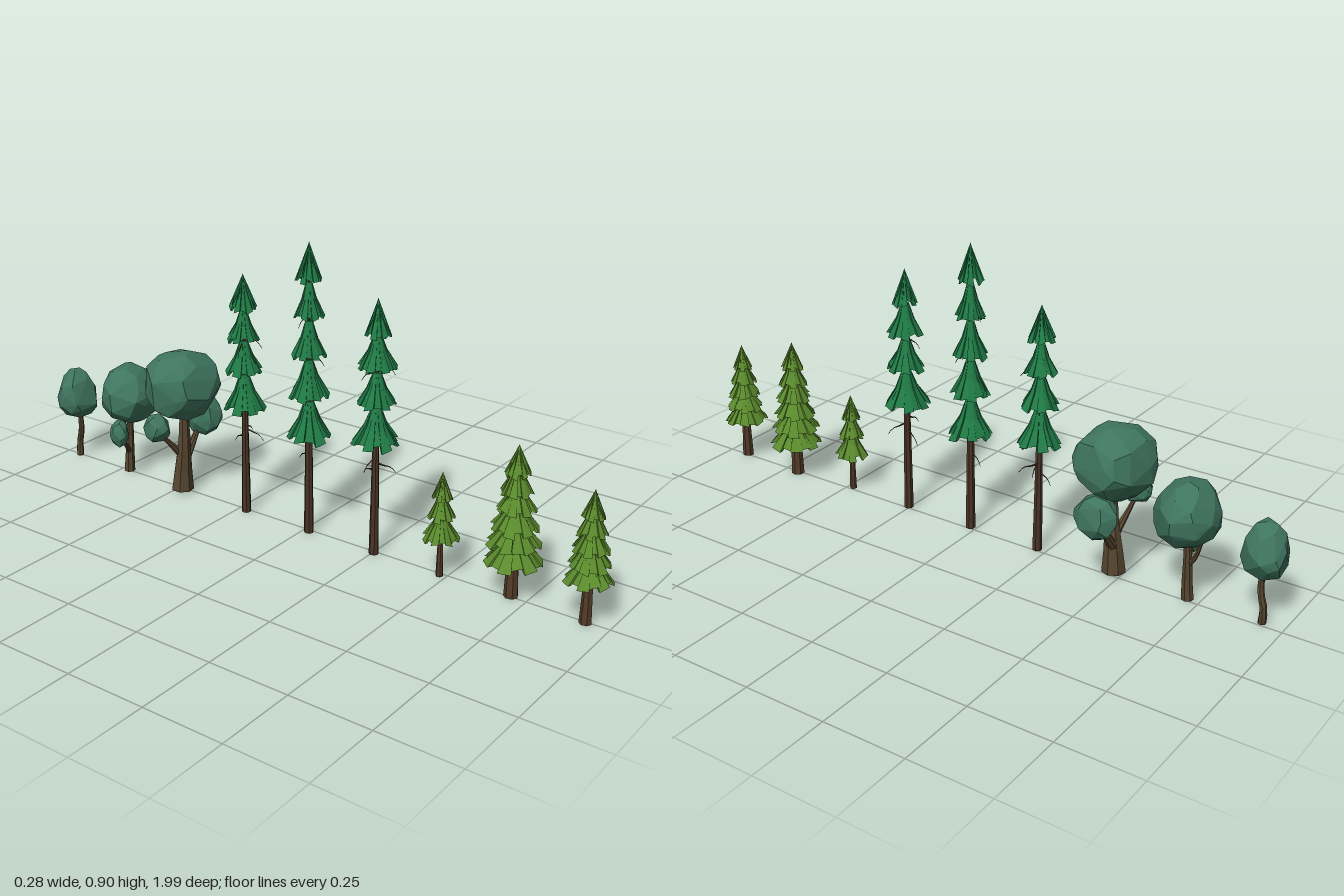
import * as THREE from 'three';
import { mergeGeometries } from 'three/addons/utils/BufferGeometryUtils.js';
import { ConvexGeometry } from 'three/addons/geometries/ConvexGeometry.js';

const mat = (color, side = THREE.FrontSide) => new THREE.MeshStandardMaterial({ color, flatShading: true, side });

// Small seeded random numbers
let seed = 7;
const rnd = (a = 0, b = 1) => {
  seed = (seed * 16807) % 2147483647;
  return a + (b - a) * (seed / 2147483647);
};

function addMesh(group, name, geometry, material) {
  const mesh = new THREE.Mesh(geometry, material);
  mesh.name = name;
  group.add(mesh);
  return mesh;
}

// Tapered, bent limb through a few points
function limb(points, r0, r1, sides = 7, seg = 8) {
  const curve = new THREE.CatmullRomCurve3(points.map(p => new THREE.Vector3(...p)));
  const geo = new THREE.TubeGeometry(curve, seg, 1, sides);
  const pos = geo.attributes.position, v = new THREE.Vector3();
  for (let i = 0; i <= seg; i++) {
    const c = curve.getPointAt(i / seg);
    const r = r1 + (r0 - r1) * (1 - i / seg) ** 1.6;
    for (let j = 0; j <= sides; j++) {
      const k = i * (sides + 1) + j;
      v.fromBufferAttribute(pos, k).sub(c).multiplyScalar(r).add(c);
      pos.setXYZ(k, v.x, v.y, v.z);
    }
  }
  geo.computeVertexNormals();
  return geo;
}

// One skirt of foliage: a ring of solid wedge-shaped fronds of uneven length
function skirt(top, bottom, radius, topRadius, fronds) {
  const h = top - bottom, out = [];
  const tri = (...p) => p.forEach(q => out.push(...q));
  for (let i = 0; i < fronds; i++) {
    const outer = i % 2, mid = ((i + rnd(-0.15, 0.15)) / fronds) * Math.PI * 2;
    const half = (Math.PI / fronds) * (outer ? 1.05 : 1.25);
    const R = radius * (outer ? rnd(0.92, 1.06) : rnd(0.78, 0.92));
    const low = bottom + h * (outer ? rnd(0, 0.08) : rnd(0.04, 0.16));
    const tilt = h * rnd(-0.05, 0.05);
    const profile = [
      [topRadius, top],
      [topRadius + (R - topRadius) * 0.38, bottom + h * 0.52],
      [R, low],
      [R * 0.86, low],
      [0, bottom + h * 0.42],
    ];
    const edge = s => profile.map(([r, y], k) => {
      const a = mid + s * half;
      return [Math.sin(a) * r, y + (k === 2 || k === 3 ? s * tilt : 0), Math.cos(a) * r];
    });
    const A = edge(-1), B = edge(1), axis = [0, top, 0];
    tri(axis, A[0], B[0]);
    for (let k = 0; k < 4; k++) {
      tri(A[k], A[k + 1], B[k + 1]);
      if (k < 4) tri(A[k], B[k + 1], B[k]);
    }
    // frond flanks
    for (let k = 0; k < 4; k++) {
      tri(axis, A[k + 1], A[k]);
      tri(axis, B[k], B[k + 1]);
    }
  }
  const geo = new THREE.BufferGeometry();
  geo.setAttribute('position', new THREE.Float32BufferAttribute(out, 3));
  geo.computeVertexNormals();
  return geo;
}

// Faceted leaf clump: convex hull of points spread unevenly over an ellipsoid
function clump([x, y, z], [sx, sy, sz], taper = 0, count = 42) {
  const pts = [];
  for (let i = 0; i < count; i++) {
    const ny = 1 - (2 * (i + 0.5)) / count;
    const a = i * 2.39996 + rnd(-0.45, 0.45), k = rnd(0.93, 1.04);
    const r = Math.sqrt(1 - ny * ny) * k * (1 - taper * ny);
    pts.push(new THREE.Vector3(x + Math.cos(a) * r * sx, y + ny * k * sy, z + Math.sin(a) * r * sz));
  }
  return new ConvexGeometry(pts);
}

// Conifer: tiers are [top, bottom, radius], twigs are [height, angle, length]
function conifer({ name, x, z, trunk, tiers, color, bark, fronds, twigs = [] }) {
  const tree = new THREE.Group();
  tree.name = name;
  tree.position.set(x, 0, z);
  const height = tiers[0][0], barkMat = mat(bark);
  const pole = new THREE.CylinderGeometry(trunk * 0.25, trunk, height * 0.93, 7, 4);
  pole.translate(0, height * 0.465, 0);
  addMesh(tree, 'trunk', pole, barkMat);
  const skirts = tiers.map(([t, b, r], i) => skirt(t, b, r, i ? r * 0.2 : 0.0005, fronds));
  addMesh(tree, 'foliage', mergeGeometries(skirts), mat(color, THREE.DoubleSide));
  twigs.forEach(([y, a, len]) => {
    const p = (r, dy) => [Math.sin(a) * r, y + dy, Math.cos(a) * r];
    const g = limb([p(0, 0), p(len * 0.45, -0.012), p(len * 0.75, -0.018), p(len, -0.036)], 0.004, 0.0008, 4, 5);
    addMesh(tree, 'bareTwig', g, barkMat);
  });
  return tree;
}

// Broadleaf tree: limbs are [points, base radius, tip radius], the first being the trunk
function broadleaf({ name, z, limbs, clumps }) {
  const tree = new THREE.Group();
  tree.name = name;
  tree.position.set(-0.005, 0, z);
  const bark = mat(0x55452f, THREE.DoubleSide), leaf = mat(0x3f7560);
  limbs.forEach(([pts, r0, r1], i) => addMesh(tree, i ? 'branch' : 'trunk', limb(pts, r0, r1), bark));
  const foot = addMesh(tree, 'trunkBase', new THREE.CircleGeometry(limbs[0][1], 7), bark);
  foot.rotation.x = Math.PI / 2;
  foot.position.set(...limbs[0][0][0]);
  clumps.forEach((c, i) => addMesh(tree, i ? 'sideLeaves' : 'crown', clump(...c), leaf));
  return tree;
}

export function createModel() {
  const model = new THREE.Group();
  model.name = 'treeCollection';

  // Short, dense firs
  const fir = { color: 0x5a8a2c, bark: 0x523b28, fronds: 14 };
  model.add(conifer({ ...fir, name: 'mediumFir', x: -0.005, z: 0.93, trunk: 0.018, tiers: [
    [0.392, 0.31, 0.032], [0.345, 0.262, 0.043], [0.3, 0.215, 0.052], [0.255, 0.17, 0.061], [0.21, 0.125, 0.07]] }));
  model.add(conifer({ ...fir, name: 'largeFir', x: 0.005, z: 0.7, trunk: 0.021, tiers: [
    [0.455, 0.365, 0.036], [0.4, 0.31, 0.047], [0.35, 0.26, 0.057], [0.3, 0.205, 0.067], [0.25, 0.155, 0.077],
    [0.2, 0.103, 0.085]] }));
  model.add(conifer({ ...fir, name: 'smallFir', x: -0.012, z: 0.48, trunk: 0.011, tiers: [
    [0.322, 0.24, 0.03], [0.265, 0.18, 0.041], [0.205, 0.112, 0.052]] }));

  // Tall, sparse pines
  const pine = { x: -0.01, color: 0x1f7a45, bark: 0x4a3426, fronds: 14, trunk: 0.015 };
  model.add(conifer({ ...pine, name: 'mediumPine', z: 0.255, tiers: [
    [0.78, 0.67, 0.04], [0.675, 0.575, 0.057], [0.565, 0.465, 0.06], [0.46, 0.345, 0.071]],
    twigs: [[0.27, 2.7, 0.065], [0.29, 0.8, 0.06], [0.6, 0.2, 0.055], [0.57, 3.4, 0.045], [0.31, 4.6, 0.05]] }));
  model.add(conifer({ ...pine, name: 'tallPine', z: 0.02, tiers: [
    [0.9, 0.785, 0.039], [0.785, 0.675, 0.045], [0.67, 0.558, 0.052], [0.552, 0.435, 0.058], [0.425, 0.307, 0.069]],
    twigs: [[0.26, 2.8, 0.05], [0.69, 4.5, 0.04], [0.57, 0.4, 0.045]] }));
  model.add(conifer({ ...pine, name: 'slenderPine', z: -0.22, tiers: [
    [0.765, 0.655, 0.042], [0.655, 0.56, 0.05], [0.56, 0.46, 0.058], [0.455, 0.34, 0.069]],
    twigs: [[0.26, 3.0, 0.045], [0.28, 0.3, 0.06], [0.58, 0.2, 0.06], [0.56, 5.0, 0.045], [0.29, 1.7, 0.045]] }));

  // Broadleaf trees
  model.add(broadleaf({ name: 'largeBroadleaf', z: -0.475,
    limbs: [
      [[[-0.012, 0.01, 0], [-0.01, 0.08, 0.003], [-0.012, 0.16, 0.012], [-0.005, 0.29, 0.01]], 0.036, 0.015],
      [[[-0.005, 0.09, 0], [0.035, 0.14, 0], [0.085, 0.21, 0]], 0.017, 0.008],
      [[[-0.015, 0.13, 0], [-0.055, 0.18, -0.012], [-0.1, 0.23, -0.02]], 0.013, 0.006],
    ],
    clumps: [
      [[0, 0.36, 0.002], [0.132, 0.112, 0.12], -0.04, 54],
      [[0.096, 0.229, 0], [0.054, 0.071, 0.068], 0, 30],
      [[-0.101, 0.243, -0.02], [0.042, 0.048, 0.045], 0, 26],
    ] }));
  model.add(broadleaf({ name: 'mediumBroadleaf', z: -0.71,
    limbs: [
      [[[0, 0.005, -0.006], [0, 0.06, -0.002], [0.004, 0.12, -0.002], [0.006, 0.25, 0.004]], 0.018, 0.01],
      [[[0, 0.07, 0], [-0.03, 0.11, 0.01], [-0.065, 0.16, 0.018]], 0.009, 0.005],
      [[[0.002, 0.11, 0], [0.01, 0.145, -0.025], [0.015, 0.22, -0.05]], 0.009, 0.005],
    ],
    clumps: [
      [[0.008, 0.276, 0.005], [0.103, 0.1, 0.095], 0.08, 46],
      [[-0.066, 0.163, 0.02], [0.033, 0.048, 0.033], 0, 24],
    ] }));
  model.add(broadleaf({ name: 'smallBroadleaf', z: -0.932,
    limbs: [[[[-0.005, 0.004, -0.005], [0, 0.05, -0.008], [-0.004, 0.1, 0.006], [-0.005, 0.22, 0]], 0.012, 0.008]],
    clumps: [[[-0.005, 0.23, 0], [0.068, 0.089, 0.066], 0.22, 36]] }));

  return model;
}
